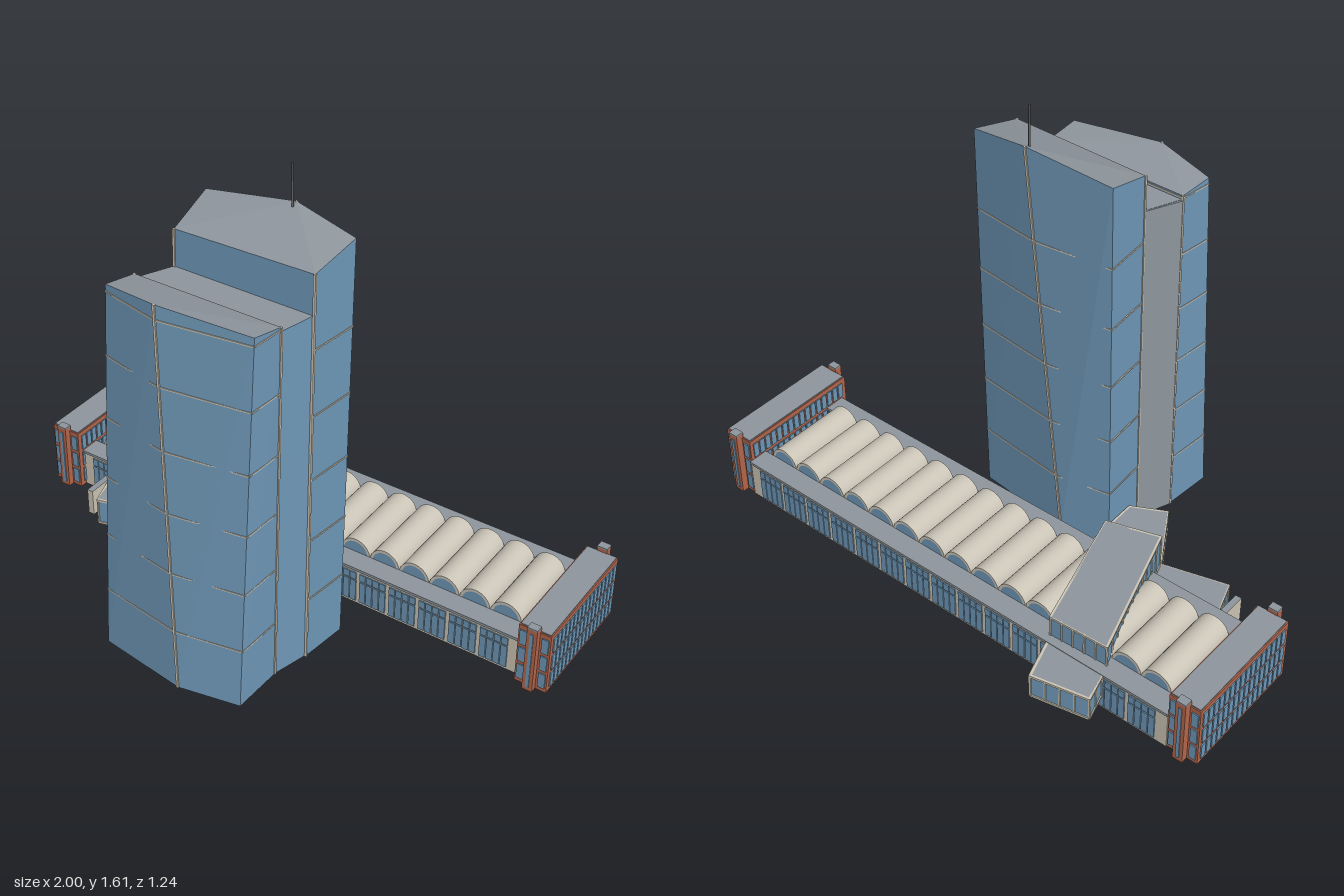
import * as THREE from 'three';
import { mergeGeometries } from 'three/addons/utils/BufferGeometryUtils.js';

const V = (x, y, z) => new THREE.Vector3(x, y, z);

function material(name, color, side = THREE.FrontSide) {
  const m = new THREE.MeshStandardMaterial({ color, side });
  m.name = name;
  return m;
}

// Box geometry given by its limits on each axis
function block(x0, x1, y0, y1, z0, z1) {
  return new THREE.BoxGeometry(x1 - x0, y1 - y0, z1 - z0)
    .translate((x0 + x1) / 2, (y0 + y1) / 2, (z0 + z1) / 2);
}

// Thin square bar between two points
function bar(a, b, t = 0.006) {
  const d = b.clone().sub(a);
  const g = new THREE.BoxGeometry(t, t, d.length());
  const m = new THREE.Matrix4().lookAt(b, a, Math.abs(d.y) > 0.9 * d.length() ? V(0, 0, 1) : V(0, 1, 0));
  return g.applyMatrix4(m.setPosition(a.clone().add(b).multiplyScalar(0.5)));
}

// Faceted solid between two rings; groups: 0 walls, 1 roof, 2 floor.
// The roof folds outward from the first corner.
function loft(bottom, top) {
  let area = 0;
  bottom.forEach((p, i) => {
    const q = bottom[(i + 1) % bottom.length];
    area += p.x * q.z - q.x * p.z;
  });
  const order = r => (area > 0 ? [r[0], ...r.slice(1).reverse()] : r);
  const b = order(bottom), t = order(top), n = b.length;
  const walls = [], roof = [], floor = [];
  for (let i = 0; i < n; i++) {
    const j = (i + 1) % n;
    walls.push(b[i], b[j], t[j], b[i], t[j], t[i]);
    if (i > 0 && i < n - 1) {
      roof.push(t[0], t[i], t[j]);
      floor.push(b[0], b[j], b[i]);
    }
  }
  const g = new THREE.BufferGeometry().setFromPoints([...walls, ...roof, ...floor]);
  g.addGroup(0, walls.length, 0);
  g.addGroup(walls.length, roof.length, 1);
  g.addGroup(walls.length + roof.length, floor.length, 2);
  g.computeVertexNormals();
  return g;
}

export function createModel() {
  const model = new THREE.Group();
  model.name = 'towerComplex';
  const glass = material('blueGlass', 0x6f98b8);
  const grey = material('roofGrey', 0x8e969d);
  const stone = material('paleStone', 0xcdc5b5);
  const vaultStone = material('vaultStone', 0xcbc5b8, THREE.DoubleSide);
  const brick = material('redBrick', 0xb4664c);
  const metal = material('mastMetal', 0x6b6668);

  const add = (name, geometry, mat, parent = model) => {
    const mesh = new THREE.Mesh(geometry, mat);
    mesh.name = name;
    parent.add(mesh);
    return mesh;
  };
  const addAll = (name, list, mat, parent) => add(name, mergeGeometries(list), mat, parent);
  const ringAt = (pts, y) => pts.map(([x, z]) => V(x, y, z));

  // Towers: folded glass prisms with pale bands at regular heights
  function tower(name, base, top, step, count, ribs) {
    const group = new THREE.Group();
    group.name = name;
    model.add(group);
    const b = ringAt(base, 0), t = top.map(p => V(...p));
    add(name + 'Body', loft(b, t), [glass, grey, glass], group);
    const bars = ribs.map(i => bar(b[i], t[i], 0.008));
    for (let k = 1; k <= count; k++) {
      const ring = b.map((p, i) => p.clone().lerp(t[i], k * step / t[i].y));
      ring.forEach((p, i) => bars.push(bar(p, ring[(i + 1) % ring.length], 0.005)));
    }
    addAll(name + 'Bands', bars, stone, group);
  }
  tower('rearTower',
    [[-0.05, 0.06], [-0.225, 0.1], [-0.215, 0.27], [0.285, 0.27], [0.305, 0.1]],
    [[0.08, 1.477, 0.034], [-0.225, 1.44, 0.064], [-0.21, 1.39, 0.243], [0.285, 1.4, 0.243], [0.305, 1.44, 0.064]],
    0.23, 5, [0, 2, 3]);
  tower('frontTower',
    [[0.035, 0.617], [0.245, 0.575], [0.25, 0.395], [-0.265, 0.395], [-0.28, 0.575]],
    [[-0.07, 1.32, 0.523], [0.245, 1.3, 0.48], [0.255, 1.28, 0.366], [-0.265, 1.28, 0.366], [-0.28, 1.295, 0.48]],
    0.212, 6, [0, 2, 3]);

  // Atrium joining the towers, with a grey panel on its right side
  add('atrium', loft(
    ringAt([[0.283, 0.265], [0.248, 0.4], [-0.263, 0.4], [-0.213, 0.265]], 0),
    ringAt([[0.283, 0.24], [0.253, 0.37], [-0.263, 0.37], [-0.208, 0.24]], 1.265)), [glass, grey, glass]);
  add('atriumPanel', loft(
    ringAt([[-0.268, 0.393], [-0.219, 0.272], [-0.2, 0.272], [-0.25, 0.393]], 0),
    ringAt([[-0.268, 0.364], [-0.214, 0.245], [-0.2, 0.245], [-0.25, 0.364]], 1.264)), grey);
  add('mast', new THREE.CylinderGeometry(0.003, 0.004, 0.17, 8).translate(0.08, 1.525, 0.055), metal);

  // Long hall: open underneath, glazed walls, flat roof edges
  const pitch = 0.113, bays = 15, start = -bays * pitch / 2;
  const hall = new THREE.Group();
  hall.name = 'hall';
  model.add(hall);
  const panes = [];
  for (const [z0, z1, outer] of [[-0.06, -0.04, -0.04], [-0.48, -0.46, -0.484]]) {
    add('hallWall', block(-0.885, 0.885, 0, 0.14, z0, z1), stone, hall);
    for (let i = 0; i < bays; i++) {
      for (let k = 0; k < 4; k++) {
        const x = start + i * pitch + 0.007 + k * 0.0255;
        for (const [y0, y1] of [[0.01, 0.095], [0.1, 0.128]])
          panes.push(block(x, x + 0.0225, y0, y1, outer, outer + 0.004));
      }
    }
  }
  addAll('hallWindows', panes, glass, hall);
  add('frontRoofEdge', block(-0.885, 0.885, 0.138, 0.148, -0.11, -0.035), grey, hall);
  add('backRoofEdge', block(-0.885, 0.885, 0.138, 0.148, -0.485, -0.41), grey, hall);

  // Row of barrel vaults with glazed ends
  const vaults = [], lunettes = [], rims = [];
  for (let i = 0; i < bays; i++) {
    const x = start + (i + 0.5) * pitch;
    vaults.push(new THREE.CylinderGeometry(0.056, 0.056, 0.3, 20, 1, true, Math.PI / 2, Math.PI)
      .rotateX(Math.PI / 2).translate(x, 0.142, -0.26));
    for (const [z, turn] of [[-0.112, 0], [-0.408, Math.PI]]) {
      lunettes.push(new THREE.CircleGeometry(0.05, 16, 0, Math.PI).rotateY(turn).translate(x, 0.142, z));
      rims.push(new THREE.RingGeometry(0.046, 0.056, 20, 1, 0, Math.PI).rotateY(turn)
        .translate(x, 0.142, z + (turn ? -0.002 : 0.002)));
    }
  }
  addAll('barrelVaults', vaults, vaultStone, hall);
  addAll('vaultWindows', lunettes, glass, hall);
  addAll('vaultRims', rims, vaultStone, hall);

  // Brick end pavilions, one at each end
  for (const s of [-1, 1]) {
    const end = new THREE.Group();
    end.name = s > 0 ? 'leftPavilion' : 'rightPavilion';
    end.position.x = s * 0.94;
    model.add(end);
    add('pavilionBody', block(-0.056, 0.056, 0, 0.23, -0.476, -0.014), brick, end);
    add('pavilionRoof', block(-0.052, 0.052, 0.228, 0.234, -0.472, -0.018), grey, end);
    const windows = [], piers = [], caps = [];
    for (const y of [0.016, 0.086, 0.156]) {
      for (let k = 0; k < 16; k++) {
        const z = -0.463 + k * 0.0274;
        for (const x of [-0.06, 0.056]) windows.push(block(x, x + 0.004, y, y + 0.057, z, z + 0.021));
      }
      for (const z of [-0.48, -0.014])
        for (const x of [-0.05, 0.026]) windows.push(block(x, x + 0.024, y, y + 0.057, z, z + 0.004));
    }
    for (const [z0, z1, face] of [[-0.5, -0.47, -0.503], [-0.02, 0.008, 0.008]]) {
      piers.push(block(-0.018, 0.018, 0, 0.246, z0, z1));
      caps.push(block(-0.018, 0.018, 0.246, 0.252, z0, z1));
      windows.push(block(-0.006, 0.006, 0.015, 0.23, face, face + 0.003));
    }
    addAll('pavilionWindows', windows, glass, end);
    addAll('pavilionPiers', piers, brick, end);
    addAll('pierCaps', caps, grey, end);
  }

  // Entrance wing: glazed blocks with pale frames cutting across the hall
  function wing(name, pts, y0, y1) {
    const b = ringAt(pts, y0), t = ringAt(pts, y1);
    add(name, loft(b, t), [glass, grey, stone]);
    const frame = [];
    b.forEach((p, i) => {
      const j = (i + 1) % b.length, n = Math.max(2, Math.round(p.distanceTo(b[j]) / 0.045));
      const lift = V(0, -0.004, 0);
      frame.push(bar(p, b[j], 0.008), bar(t[i].clone().add(lift), t[j].clone().add(lift), 0.008));
      for (let k = 0; k < n; k++) frame.push(bar(p.clone().lerp(b[j], k / n), t[i].clone().lerp(t[j], k / n)));
    });
    addAll(name + 'Frame', frame, stone);
  }
  wing('crossWing', [[-0.63, -0.445], [-0.42, -0.455], [-0.295, -0.015], [-0.475, 0.04]], 0.1, 0.23);
  wing('backWing', [[-0.67, -0.58], [-0.475, -0.62], [-0.42, -0.45], [-0.63, -0.44]], 0.058, 0.146);
  wing('frontWing', [[-0.475, 0.045], [-0.345, 0.265], [-0.23, 0.205], [-0.235, -0.04], [-0.47, -0.04]], 0, 0.1);
  wing('sideWing', [[-0.75, -0.04], [-0.7, 0.11], [-0.48, 0.05], [-0.47, -0.04]], 0, 0.1);
  const sidePlate = [[-0.475, -0.624], [-0.47, -0.624], [-0.414, -0.45], [-0.424, -0.45]];
  add('backWingSide', loft(ringAt(sidePlate, 0.056), ringAt(sidePlate, 0.145)), stone);
  add('entranceFin', block(-0.765, -0.742, 0, 0.1, -0.04, 0.088), [stone, stone, grey, stone, stone, stone]);

  return model;
}
